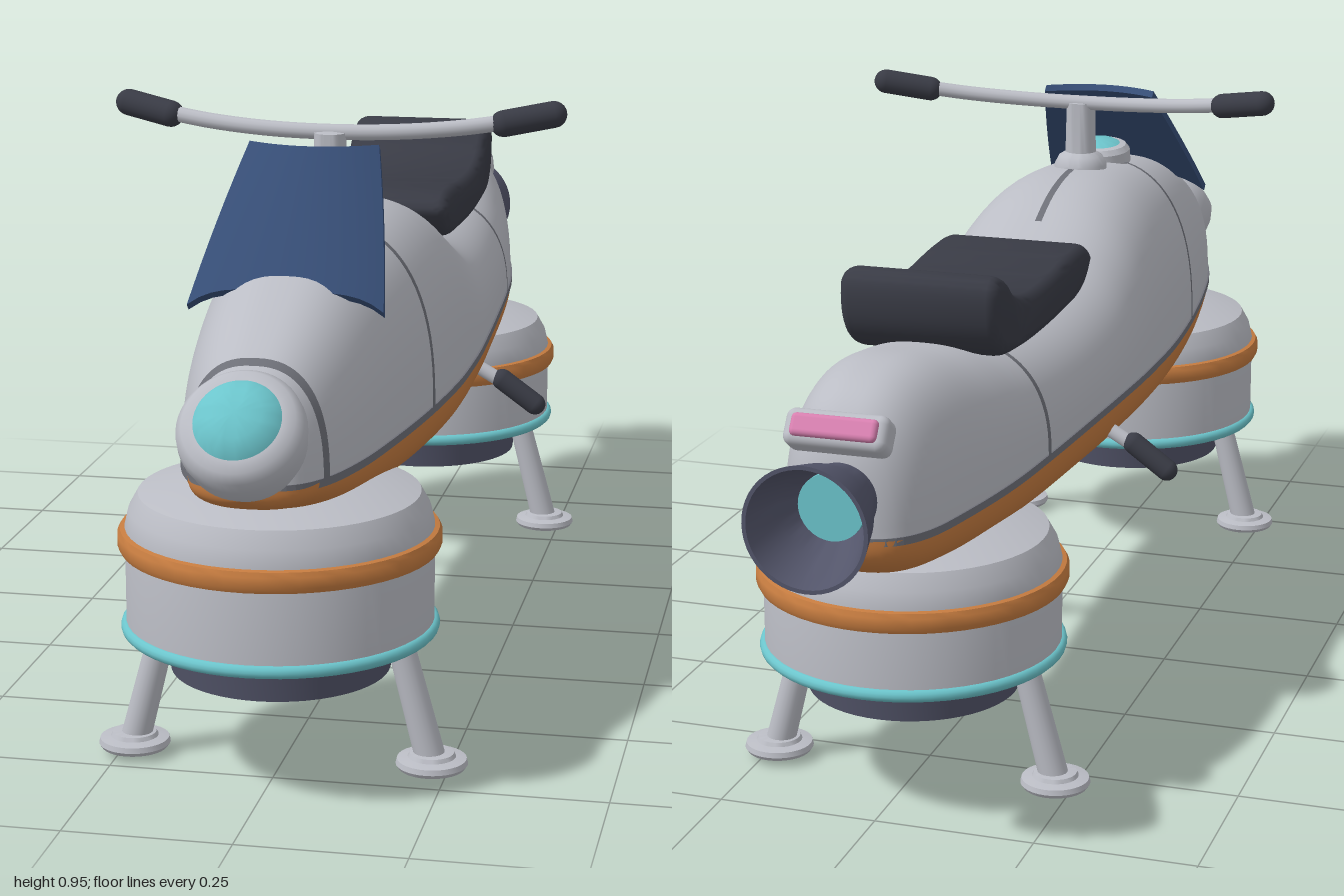
import * as THREE from 'three';
import { toCreasedNormals } from 'three/addons/utils/BufferGeometryUtils.js';
import { RoundedBoxGeometry } from 'three/addons/geometries/RoundedBoxGeometry.js';

const paint = (name, color) => Object.assign(new THREE.MeshStandardMaterial({ color }), { name });
const V3 = (x, y, z) => new THREE.Vector3(x, y, z);

export function createModel() {
  const model = new THREE.Group();
  model.name = 'hoverBike';
  const grey = paint('bodyGrey', 0xbbbdc5);
  const orange = paint('trimOrange', 0xc67c40);
  const teal = paint('glowTeal', 0x6cc5cc);
  const slate = paint('nozzleSlate', 0x53556a);
  const dark = paint('rubberDark', 0x393b45);
  const navy = paint('screenNavy', 0x364d75);
  const pink = paint('tailPink', 0xd880b0);
  const seam = paint('seamGrey', 0x6e7078);

  const add = (name, geo, mat, parent = model, pos = [0, 0, 0]) => {
    const m = new THREE.Mesh(geo, mat);
    m.name = name;
    m.position.set(...pos);
    parent.add(m);
    return m;
  };
  // Lathe from [radius, height] pairs, bottom to top
  const lathe = (pts, seg = 48) =>
    toCreasedNormals(new THREE.LatheGeometry(pts.map(p => new THREE.Vector2(...p)), seg), 0.6);
  // Round bar between two points
  const rod = (name, a, b, r0, r1, mat, parent = model) => {
    const d = b.clone().sub(a), L = d.length();
    const m = add(name, new THREE.CylinderGeometry(r1, r0, L, 20), mat, parent);
    m.position.copy(a).addScaledVector(d, 0.5);
    m.quaternion.setFromUnitVectors(V3(0, 1, 0), d.normalize());
    return m;
  };
  // Rubber grip with rounded ends
  const grip = (name, a, b, r) => {
    const d = b.clone().sub(a), L = d.length();
    const m = add(name, new THREE.CapsuleGeometry(r, L - 2 * r, 6, 20), dark);
    m.position.copy(a).addScaledVector(d, 0.5);
    m.quaternion.setFromUnitVectors(V3(0, 1, 0), d.normalize());
  };

  // Hull sections: (half width, crest height, z), front to back
  const BASE = 0.492;
  const upper = new THREE.CatmullRomCurve3([
    [0, 0.53, 0.905], [0.065, 0.61, 0.885], [0.1, 0.655, 0.84], [0.13, 0.7, 0.75], [0.157, 0.75, 0.6],
    [0.18, 0.778, 0.42], [0.193, 0.787, 0.25], [0.195, 0.768, 0.14], [0.194, 0.725, 0.04], [0.19, 0.685, -0.06],
    [0.183, 0.665, -0.2], [0.17, 0.67, -0.42], [0.158, 0.695, -0.56], [0.135, 0.713, -0.7],
    [0.11, 0.692, -0.8], [0.075, 0.64, -0.85], [0, 0.53, -0.875]].map(p => V3(...p)));
  const lower = new THREE.CatmullRomCurve3([
    [0, 0.48, 0.925], [0.075, 0.46, 0.895], [0.1, 0.445, 0.84], [0.131, 0.42, 0.75], [0.158, 0.395, 0.6],
    [0.181, 0.38, 0.42], [0.195, 0.371, 0.2], [0.19, 0.369, -0.06], [0.183, 0.372, -0.2],
    [0.171, 0.38, -0.42], [0.159, 0.39, -0.56], [0.136, 0.403, -0.7], [0.111, 0.42, -0.8],
    [0.078, 0.445, -0.85], [0, 0.48, -0.88]].map(p => V3(...p)));

  // Skin rounded sections between two angles
  const loft = (stations, a0, a1, offset = 0, seg = 40) => {
    const pos = [], idx = [];
    const soft = v => Math.sign(v) * Math.abs(v) ** 0.8;
    stations.forEach((s, i) => {
      for (let j = 0; j <= seg; j++) {
        const a = a0 + (a1 - a0) * j / seg;
        pos.push((s.x + offset) * soft(Math.cos(a)),
          BASE + (Math.abs(s.y - BASE) + offset) * soft(Math.sin(a)), s.z);
        if (i && j) {
          const q = i * (seg + 1) + j, p = q - seg - 1;
          idx.push(p - 1, q - 1, p, q - 1, q, p);
        }
      }
    });
    const g = new THREE.BufferGeometry();
    g.setAttribute('position', new THREE.Float32BufferAttribute(pos, 3));
    g.setIndex(idx);
    g.computeVertexNormals();
    return g;
  };
  // Upper hull section at a given z
  const at = z => {
    let lo = 0, hi = 1;
    for (let i = 0; i < 30; i++) {
      const mid = (lo + hi) / 2;
      if (upper.getPoint(mid).z > z) lo = mid; else hi = mid;
    }
    return upper.getPoint(lo);
  };
  add('upperHull', loft(upper.getPoints(96), 0, Math.PI), grey);
  add('lowerHull', loft(lower.getPoints(96), Math.PI, 2 * Math.PI), orange);

  // Dark lip between the hull halves
  const rim = upper.getPoints(80);
  const lipShape = new THREE.Shape([
    ...rim.map(p => new THREE.Vector2(p.x + 0.003, -p.z)),
    ...rim.slice().reverse().map(p => new THREE.Vector2(-p.x - 0.003, -p.z))]);
  const lip = new THREE.ExtrudeGeometry(lipShape, { depth: 0.012, bevelEnabled: false });
  add('hullLip', lip.rotateX(-Math.PI / 2), seam, model, [0, BASE - 0.008, 0]);

  // Panel seams across the hull and along the spine
  for (const z of [0.84, 0.42, -0.42])
    add('panelSeam', loft([at(z + 0.006), at(z - 0.006)], 0, Math.PI, 0.003), seam);
  const spine = Array.from({ length: 16 }, (_, i) => at(0.265 - 0.013 * i));
  add('spineSeam', loft(spine, Math.PI / 2 - 0.012, Math.PI / 2 + 0.012, 0.003, 2), seam);

  // Headlight, tilted up
  const head = new THREE.Group();
  head.name = 'headlight';
  head.position.set(0, 0.567, 0.908);
  head.rotation.x = 0.82;
  model.add(head);
  add('headlightHousing', lathe([[0, -0.09], [0.04, -0.085], [0.07, -0.06], [0.086, -0.025], [0.092, 0.01],
    [0.09, 0.03], [0.08, 0.044], [0.064, 0.05], [0, 0.05]]), grey, head);
  add('headlightLens', lathe([[0.064, 0.048], [0.054, 0.06], [0.038, 0.068], [0.02, 0.073], [0, 0.074]]), teal, head);

  // Rear thruster
  const thruster = new THREE.Group();
  thruster.name = 'thruster';
  thruster.position.set(0, 0.55, -0.86);
  thruster.rotation.x = -Math.PI / 2;
  model.add(thruster);
  add('thrusterNozzle', lathe([[0, -0.02], [0.05, -0.02], [0.058, 0.02], [0.075, 0.07], [0.093, 0.14],
    [0.087, 0.14], [0.068, 0.07], [0.05, 0.03], [0, 0.03]]), slate, thruster);
  add('thrusterGlow', new THREE.CylinderGeometry(0.05, 0.05, 0.008, 32), teal, thruster, [0, 0.036, 0]);

  // Tail light
  const tail = new THREE.Group();
  tail.name = 'tailLight';
  tail.position.set(0, 0.648, -0.862);
  tail.rotation.x = 0.6;
  model.add(tail);
  add('tailHousing', new RoundedBoxGeometry(0.155, 0.055, 0.05, 3, 0.014), grey, tail);
  add('tailLens', new RoundedBoxGeometry(0.13, 0.034, 0.03, 3, 0.008), pink, tail, [0, 0, -0.018]);

  // Seat: side outline as [distance back, height]
  const seatLine = new THREE.CatmullRomCurve3([[0.025, 0.715], [0.05, 0.738], [0.13, 0.742], [0.25, 0.733],
    [0.36, 0.735], [0.43, 0.752], [0.475, 0.785], [0.52, 0.796], [0.541, 0.78], [0.538, 0.715], [0.5, 0.672],
    [0.4, 0.655], [0.2, 0.653], [0.07, 0.668]].map(p => V3(p[0], p[1], 0)), true);
  const seatShape = new THREE.Shape(seatLine.getPoints(70).slice(0, -1).map(p => new THREE.Vector2(p.x, p.y)));
  const seat = new THREE.ExtrudeGeometry(seatShape, {
    depth: 0.204, bevelThickness: 0.024, bevelSize: 0.022, bevelOffset: -0.022, bevelSegments: 5 });
  seat.translate(0, 0, -0.102).rotateY(Math.PI / 2);
  add('seat', toCreasedNormals(seat, 0.8), dark);

  // Windscreen: a thin slab bent round and leaned back
  const screen = new THREE.BoxGeometry(2, 1, 0.014, 16, 8, 1);
  const sp = screen.attributes.position;
  for (let i = 0; i < sp.count; i++) {
    const u = sp.getX(i), s = sp.getY(i) + 0.5, t = sp.getZ(i);
    const edge = Math.abs(u) ** 4;
    const x = u * (0.147 - 0.035 * s - 0.012 * s * s);
    sp.setXYZ(i, x, 0.715 + 0.183 * s - 0.028 * edge * (1 - s) + 0.7 * t,
      0.655 - 0.185 * s - 0.035 * u * u + 0.024 * edge * (1 - s) + 0.7 * t);
  }
  screen.computeVertexNormals();
  add('windscreen', screen, navy);

  // Dash gauge
  const gauge = new THREE.Group();
  gauge.name = 'gauge';
  gauge.position.set(0, 0.772, 0.435);
  gauge.rotation.x = -0.08;
  model.add(gauge);
  add('gaugeHousing', lathe([[0.058, 0], [0.057, 0.022], [0.05, 0.031], [0.04, 0.033], [0, 0.033]]), grey, gauge);
  add('gaugeFace', lathe([[0.041, 0.032], [0.03, 0.038], [0, 0.041]]), teal, gauge);

  // Steering stem and handlebar
  add('stem', lathe([[0.046, 0.76], [0.046, 0.79], [0.038, 0.805], [0.027, 0.812], [0.025, 0.9], [0, 0.903]], 32),
    grey, model, [0, 0, 0.322]);
  const bar = new THREE.CatmullRomCurve3([V3(-0.3, 0.922, 0.272), V3(-0.2, 0.909, 0.295), V3(-0.1, 0.902, 0.31),
    V3(0, 0.9, 0.315), V3(0.1, 0.902, 0.31), V3(0.2, 0.909, 0.295), V3(0.3, 0.922, 0.272)]);
  add('handlebar', new THREE.TubeGeometry(bar, 40, 0.0125, 12), grey);

  // Hand grips and foot pegs on both sides
  for (const s of [-1, 1]) {
    grip('handGrip', V3(s * 0.246, 0.912, 0.287), V3(s * 0.36, 0.932, 0.252), 0.021);
    rod('footPeg', V3(s * 0.13, 0.46, -0.085), V3(s * 0.225, 0.406, -0.085), 0.012, 0.012, grey);
    grip('footPegGrip', V3(s * 0.2, 0.426, -0.085), V3(s * 0.286, 0.364, -0.085), 0.018);
  }

  // Lift engines with landing legs
  const ring = (r, tube) => new THREE.TorusGeometry(r, tube, 12, 56).rotateX(Math.PI / 2);
  for (const [name, z, drop] of [['frontEngine', 0.688, 0], ['rearEngine', -0.568, 0.018]]) {
    const e = new THREE.Group();
    e.name = name;
    e.position.z = z;
    model.add(e);
    add('engineDrum', lathe([[0, 0.212], [0.2, 0.212], [0.228, 0.222], [0.228, 0.38 - drop], [0.222, 0.405 - drop],
      [0.208, 0.43 - drop], [0.13, 0.452 - drop], [0, 0.456 - drop]], 56), grey, e);
    add('engineBand', lathe([[0.226, 0.344 - drop], [0.235, 0.346 - drop], [0.239, 0.354 - drop],
      [0.239, 0.37 - drop], [0.235, 0.377 - drop], [0.226, 0.379 - drop]], 56), orange, e);
    add('engineGlowRing', ring(0.226, 0.01), teal, e, [0, 0.228, 0]);
    add('liftNozzle', lathe([[0, 0.185], [0.135, 0.185], [0.152, 0.16], [0.163, 0.16], [0.172, 0.215]], 56), slate, e);
    add('liftGlow', new THREE.CylinderGeometry(0.13, 0.13, 0.008, 48), teal, e, [0, 0.181, 0]);
    for (const s of [-1, 1]) {
      rod('leg', V3(s * 0.226, 0.028, 0), V3(s * 0.176, 0.22, 0), 0.023, 0.02, grey, e);
      add('foot', lathe([[0, 0.003], [0.018, 0.004], [0.022, 0.012], [0.05, 0.014], [0.054, 0.02], [0.052, 0.028],
        [0.036, 0.031], [0.033, 0.037], [0, 0.039]], 32), grey, e, [s * 0.228, 0, 0]);
    }
  }
  return model;
}
